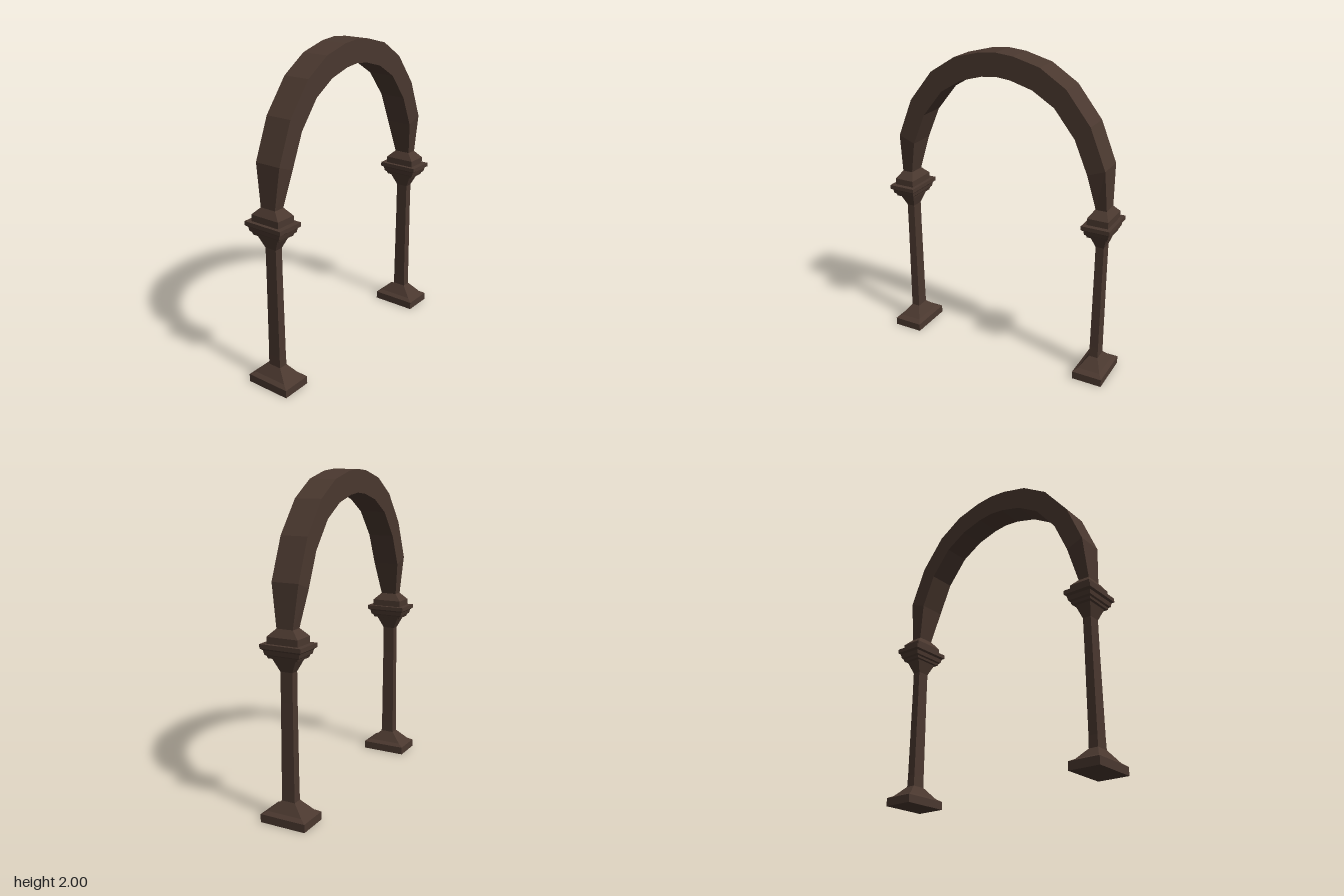
import * as THREE from 'three';

// Skin a list of four-cornered sections, closing both ends
function loft(sections) {
  const pos = [];
  const quad = (a, b, c, d) => [a, b, c, a, c, d].forEach(p => pos.push(...p));
  for (let i = 0; i + 1 < sections.length; i++) {
    const s = sections[i], t = sections[i + 1];
    for (let k = 0; k < 4; k++) {
      const n = (k + 1) % 4;
      quad(s[k], s[n], t[n], t[k]);
    }
  }
  const f = sections[0], l = sections[sections.length - 1];
  quad(f[3], f[2], f[1], f[0]);
  quad(l[0], l[1], l[2], l[3]);
  const g = new THREE.BufferGeometry();
  g.setAttribute('position', new THREE.Float32BufferAttribute(pos, 3));
  g.computeVertexNormals();
  return g;
}

// Stacked rectangles from [y, half width, half depth]
const stack = rows => loft(rows.map(([y, w, d]) =>
  [[-w, y, d], [w, y, d], [w, y, -d], [-w, y, -d]]));

export function createModel() {
  const group = new THREE.Group();
  const wood = new THREE.MeshStandardMaterial({ color: 0x4a382f });
  wood.name = 'darkBrown';

  // Column parts
  const parts = {
    base: stack([[0, 0.097, 0.147], [0.05, 0.097, 0.147], [0.067, 0.072, 0.112], [0.13, 0.029, 0.044]]),
    shaft: stack([[0.13, 0.029, 0.044], [0.2, 0.028, 0.042], [0.72, 0.026, 0.039], [0.9, 0.026, 0.039]]),
    capital: stack([
      [0.9, 0.026, 0.039], [0.975, 0.05, 0.076], [0.978, 0.063, 0.095], [0.992, 0.066, 0.1],
      [1.0, 0.074, 0.112], [1.025, 0.078, 0.118], [1.035, 0.089, 0.133], [1.06, 0.089, 0.133],
    ]),
    impost: stack([[1.06, 0.066, 0.1], [1.1, 0.066, 0.1], [1.145, 0.036, 0.053]]),
  };
  for (const [side, sign] of [['left', 1], ['right', -1]]) {
    const column = new THREE.Group();
    column.name = side + 'Column';
    column.position.x = sign * 0.675;
    for (const [name, geometry] of Object.entries(parts)) {
      const mesh = new THREE.Mesh(geometry, wood);
      mesh.name = name;
      column.add(mesh);
    }
    group.add(column);
  }

  // Arch: [outer x, outer y, inner x, inner y, half depth], mirrored about the crown
  const half = [
    [0.711, 1.145, 0.642, 1.145, 0.053], [0.7, 1.4, 0.592, 1.36, 0.086],
    [0.6, 1.645, 0.507, 1.56, 0.086], [0.445, 1.84, 0.375, 1.725, 0.086],
    [0.28, 1.945, 0.235, 1.81, 0.086], [0.11, 1.99, 0.095, 1.85, 0.086],
  ];
  const mirrored = half.map(([a, b, c, d, e]) => [-a, b, -c, d, e]);
  const path = [...mirrored, [0, 2, 0, 1.86, 0.086], ...half.reverse()];
  const arch = new THREE.Mesh(loft(path.map(([ox, oy, ix, iy, d]) =>
    [[ox, oy, d], [ix, iy, d], [ix, iy, -d], [ox, oy, -d]])), wood);
  arch.name = 'arch';
  group.add(arch);
  return group;
}
